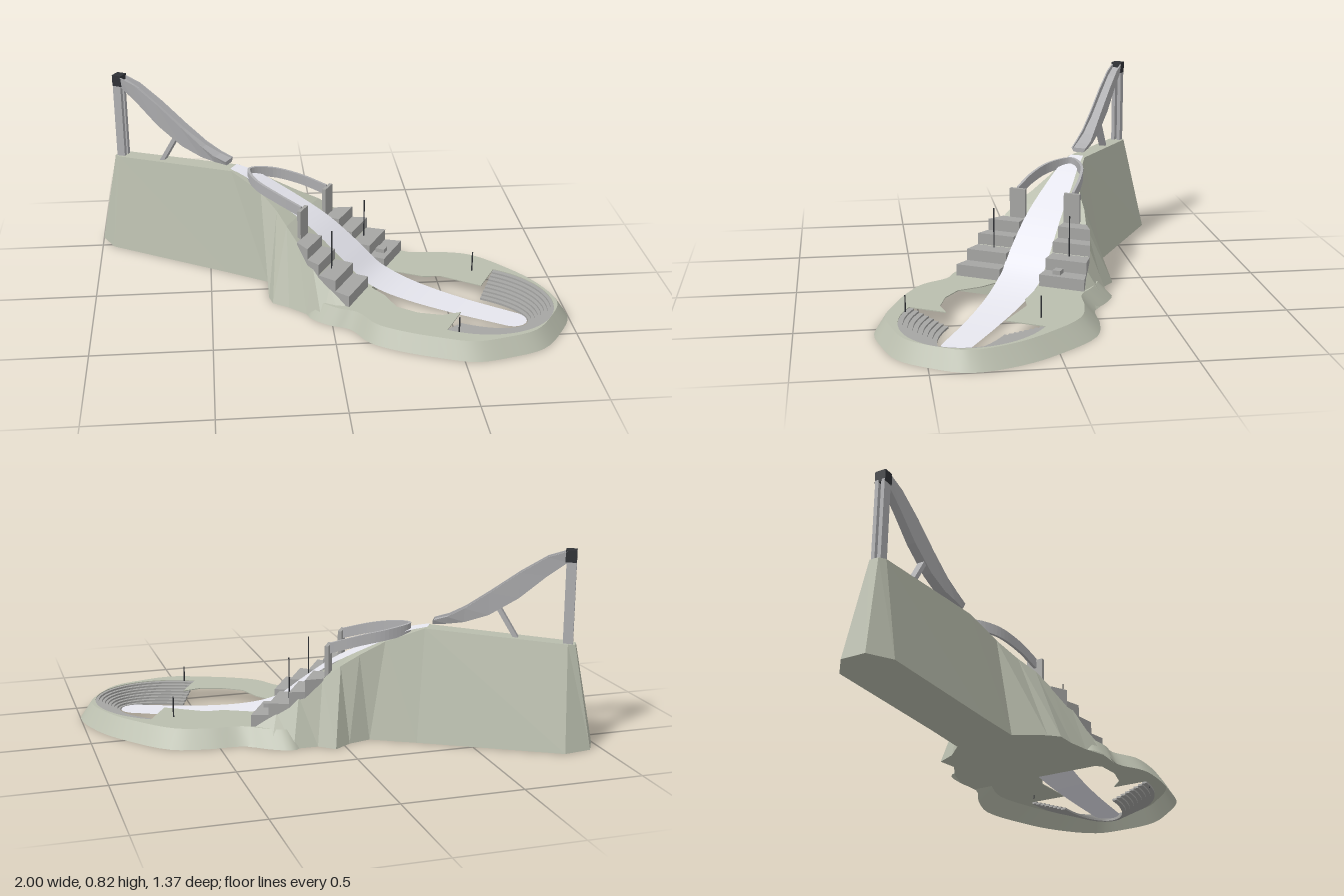
import * as THREE from 'three';

const mat = (color, flatShading = true) => new THREE.MeshStandardMaterial({ color, side: THREE.DoubleSide, flatShading });
const earth = mat(0xbabeae), softEarth = mat(0xbabeae, false), concrete = mat(0xa6a6a4);
const steel = mat(0xb0b0b2), snow = mat(0xe6e6ee, false), dark = mat(0x303236);
const V = (x, y, z) => new THREE.Vector3(x, y, z);

export function createModel() {
  // Local frame: x runs down the jump, z across it
  const jump = new THREE.Group();
  jump.name = 'skiJumpStadium';

  const add = (name, geometry, material) => {
    const mesh = new THREE.Mesh(geometry, material);
    mesh.name = name;
    jump.add(mesh);
    return mesh;
  };

  const box = (name, x0, x1, y0, y1, z0, z1, material) => {
    const g = new THREE.BoxGeometry(x1 - x0, y1 - y0, Math.abs(z1 - z0));
    g.translate((x0 + x1) / 2, (y0 + y1) / 2, (z0 + z1) / 2);
    return add(name, g, material);
  };

  // Skin through cross-sections with equal point counts
  const loft = (sections, closed = true, caps = false) => {
    const n = sections[0].length, pos = [], index = [];
    sections.forEach((s) => s.forEach((p) => pos.push(p.x, p.y, p.z)));
    for (let i = 0; i < sections.length - 1; i++) {
      for (let j = 0; j < (closed ? n : n - 1); j++) {
        const a = i * n + j, b = i * n + (j + 1) % n;
        index.push(a, b, a + n, b, b + n, a + n);
      }
    }
    if (caps) {
      const last = (sections.length - 1) * n;
      for (let j = 1; j < n - 1; j++) index.push(0, j + 1, j, last, last + j, last + j + 1);
    }
    const g = new THREE.BufferGeometry();
    g.setAttribute('position', new THREE.Float32BufferAttribute(pos, 3));
    g.setIndex(index);
    g.computeVertexNormals();
    return g;
  };

  // Flat plan extruded downwards from height y
  const slab = (shape, y, depth) => new THREE.ExtrudeGeometry(shape, { depth, bevelEnabled: false, curveSegments: 32 })
    .rotateX(Math.PI / 2).translate(0, y, 0);

  // Hill: base x, top x, base z+, base z-, top half width, top height
  const hill = [
    [-1.156, -1.075, 0.045, -0.06, 0.02, 0.43], [-1.06, -1.045, 0.105, -0.136, 0.035, 0.433],
    [-0.45, -0.46, 0.11, -0.136, 0.04, 0.468], [-0.25, -0.3, 0.115, -0.14, 0.07, 0.41],
    [-0.18, -0.2, 0.24, -0.21, 0.115, 0.358], [-0.14, -0.13, 0.28, -0.29, 0.16, 0.318],
    [-0.06, -0.06, 0.285, -0.275, 0.195, 0.265], [0.03, 0.03, 0.305, -0.325, 0.24, 0.2],
    [0.12, 0.12, 0.34, -0.35, 0.262, 0.13], [0.22, 0.22, 0.34, -0.343, 0.285, 0.065],
  ].map(([xb, xt, zl, zr, w, y]) => [V(xb, 0, zl), V(xt, y, w), V(xt, y, -w), V(xb, 0, zr)]);
  add('hill', loft(hill, true, true), earth);

  // Stadium ground: hollow, with a sloped rim around a thin deck with an oval opening
  const plan = [[0.013, -0.33], [0.115, -0.354], [0.236, -0.343], [0.37, -0.41], [0.52, -0.45], [0.736, -0.385],
    [0.898, -0.298], [1.04, -0.15], [1.055, 0], [1.03, 0.155], [0.93, 0.275], [0.816, 0.368], [0.66, 0.403],
    [0.5, 0.42], [0.37, 0.41], [0.25, 0.345], [0.153, 0.35], [0.033, 0.305]];
  const outline = new THREE.CatmullRomCurve3(plan.map(([x, z]) => V(x, 0, z)), true).getPoints(72).slice(0, -1);
  const inset = (p) => V(0.5 + (p.x - 0.5) * 0.92, 0.07, p.z * (p.z < 0 ? 0.85 : 0.9));
  const rimTop = outline.map(inset);
  add('stadiumRim', loft([rimTop, outline]), softEarth);

  const deck = new THREE.Shape(rimTop.map((p) => new THREE.Vector2(p.x, p.z)));
  const seatX = 0.66, rx = (i) => 0.25 + 0.0125 * i, rz = (i) => 0.12 + 0.0215 * i, rows = 8;
  const opening = new THREE.Path();
  opening.moveTo(0.24, -0.09);
  opening.lineTo(0.4, -0.1);
  opening.lineTo(0.47, -0.135);
  opening.lineTo(seatX, -0.125);
  opening.lineTo(seatX, -rz(rows));
  opening.absellipse(seatX, 0, rx(rows), rz(rows), -Math.PI / 2, Math.PI / 2, false);
  opening.lineTo(seatX, 0.13);
  opening.lineTo(0.6, 0.185);
  opening.lineTo(0.5, 0.21);
  opening.lineTo(0.4, 0.2);
  opening.lineTo(0.32, 0.13);
  opening.lineTo(0.24, 0.09);
  deck.holes.push(opening);
  add('stadiumDeck', slab(deck, 0.07, 0.004), earth);

  // Curved seating terraces stepping down towards the outrun
  for (let i = 0; i < rows; i++) {
    const row = new THREE.Shape();
    row.absellipse(seatX, 0, rx(i + 1), rz(i + 1), -Math.PI / 2, Math.PI / 2, false);
    row.lineTo(seatX, rz(i));
    row.absellipse(seatX, 0, rx(i), rz(i), Math.PI / 2, -Math.PI / 2, true);
    row.closePath();
    add('seatTerrace', slab(row, 0.012 + 0.0078 * i, 0.009), concrete);
  }

  // Landing slope and outrun with a rounded end: x, height, half width
  const slope = new THREE.CatmullRomCurve3([
    [-0.47, 0.474, 0.03], [-0.38, 0.452, 0.042], [-0.25, 0.392, 0.06], [-0.05, 0.288, 0.08], [0.1, 0.178, 0.09],
    [0.2, 0.1, 0.092], [0.28, 0.067, 0.09], [0.4, 0.042, 0.082], [0.6, 0.022, 0.07], [0.84, 0.012, 0.06],
  ].map((p) => V(...p))).getPoints(50);
  for (let k = 1; k <= 8; k++) {
    const a = k / 8 * Math.PI / 2;
    slope.push(V(0.84 + 0.065 * Math.sin(a), 0.012, 0.06 * Math.cos(a)));
  }
  add('landingSlope', loft(slope.map((p) => [V(p.x, p.y, -p.z), V(p.x, p.y, p.z)]), false), snow);

  // Inrun trough: x, top, underside, half width
  const inrun = [
    [-1.03, 0.815, 0.768, 0.024], [-0.95, 0.788, 0.708, 0.025], [-0.84, 0.718, 0.612, 0.027],
    [-0.72, 0.63, 0.535, 0.028], [-0.62, 0.56, 0.5, 0.031], [-0.55, 0.522, 0.49, 0.036], [-0.49, 0.503, 0.484, 0.034],
  ].map(([x, t, b, w]) => {
    const f = t - (t - b) * 0.3, m = w - 0.006;
    return [V(x, t, -w), V(x, b, -w * 0.7), V(x, b, w * 0.7), V(x, t, w), V(x, t, m), V(x, f, m), V(x, f, -m), V(x, t, -m)];
  });
  add('inrun', loft(inrun, true, true), steel);

  // Start tower
  for (const side of [-1, 1]) {
    box('towerColumn', -1.064, -1.024, 0.41, 0.78, side * 0.006, side * 0.022, steel);
  }
  box('towerCabin', -1.064, -1.02, 0.77, 0.82, -0.024, 0.024, dark);

  // Inclined strut under the inrun
  const foot = V(-0.84, 0.43, 0), head = V(-0.755, 0.57, 0);
  const strut = add('inrunStrut', new THREE.BoxGeometry(0.018, foot.distanceTo(head), 0.03), steel);
  strut.position.copy(foot).lerp(head, 0.5);
  strut.rotation.z = -Math.atan2(head.x - foot.x, head.y - foot.y);

  // Horseshoe gallery around the top of the landing slope
  const gallery = new THREE.CatmullRomCurve3([
    V(-0.075, 0.406, -0.128), V(-0.2, 0.442, -0.113), V(-0.32, 0.468, -0.075), V(-0.39, 0.48, 0),
    V(-0.32, 0.468, 0.075), V(-0.2, 0.442, 0.113), V(-0.075, 0.406, 0.128),
  ]);
  const band = [];
  for (let i = 0; i <= 40; i++) {
    const p = gallery.getPoint(i / 40), t = gallery.getTangent(i / 40);
    const n = V(t.z, 0, -t.x).normalize().multiplyScalar(0.006);
    const corner = (k, y) => V(p.x + n.x * k, p.y + y, p.z + n.z * k);
    band.push([corner(1, 0), corner(-1, 0), corner(-1, -0.045), corner(1, -0.045)]);
  }
  add('gallery', loft(band, true, true), steel);

  // Gallery piers, flared spectator steps and flag poles on both sides
  const edge = [[-0.065, 0.195], [0.004, 0.235], [0.067, 0.257], [0.151, 0.272], [0.222, 0.289]];
  const pole = (x, y0, y1, z) =>
    add('flagPole', new THREE.CylinderGeometry(0.003, 0.003, y1 - y0, 6).translate(x, (y0 + y1) / 2, z), dark);
  for (const side of [-1, 1]) {
    box('galleryPier', -0.078, -0.062, 0.2, 0.4, side * 0.09, side * 0.162, concrete);
    for (let i = 0; i < 4; i++) {
      const [x0, z0] = edge[i], [x1, z1] = edge[i + 1];
      const step = new THREE.Shape([[x0, 0.09], [x1, 0.09], [x1, z1], [x0, z0]]
        .map(([x, z]) => new THREE.Vector2(x, side * z)));
      const top = 0.27 - 0.05 * i;
      add('spectatorStep', slab(step, top, top - 0.065), concrete);
    }
    pole(0.088, 0.17, 0.345, side * 0.173);
  }
  pole(0.578, 0.05, 0.16, -0.24);
  pole(0.708, 0.05, 0.135, 0.285);
  box('judgeBooth', 0.16, 0.2, 0.12, 0.138, -0.175, -0.14, concrete);

  // Turn the jump diagonally across the site
  jump.rotation.y = -Math.PI / 6;
  jump.position.set(0.0235, 0, -0.041);
  const model = new THREE.Group();
  model.name = 'skiJump';
  model.add(jump);
  return model;
}
